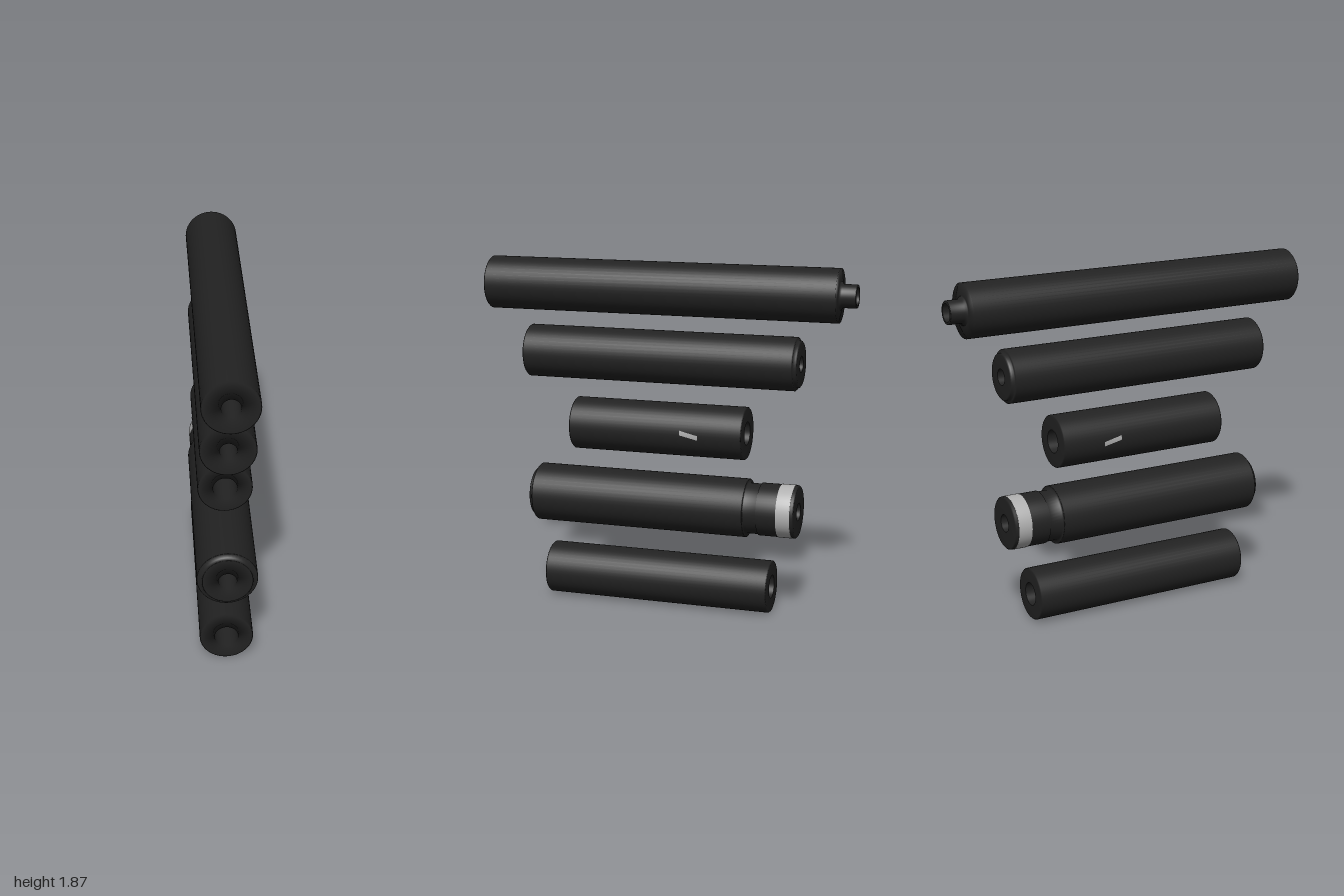
import * as THREE from 'three';

const dark = new THREE.MeshStandardMaterial({ color: 0x222222 });
dark.name = 'matte black';
const light = new THREE.MeshStandardMaterial({ color: 0xb0b0b0, side: THREE.DoubleSide });
light.name = 'light grey';

const R = 0.141; // common tube radius
const C = 0.006; // edge chamfer

// Solid of revolution along z; profile is [radius, z] from back to front
function turned(name, profile, material = dark) {
  const geo = new THREE.LatheGeometry(profile.map(([r, z]) => new THREE.Vector2(r, z)), 48);
  geo.rotateX(Math.PI / 2);
  const mesh = new THREE.Mesh(geo, material);
  mesh.name = name;
  return mesh;
}

// Outer profile closed by a bore running the whole length
function bored(name, bore, outer) {
  const back = outer[0][1], front = outer[outer.length - 1][1];
  return turned(name, [[bore, back], ...outer, [bore, front], [bore, back]]);
}

// Chamfered outline of a straight section
const section = (r, back, front) => [[r - C, back], [r, back + C], [r, front - C], [r - C, front]];

function tubeGroup(name, y, ...parts) {
  const g = new THREE.Group();
  g.name = name;
  g.position.y = y;
  g.add(...parts);
  return g;
}

// Slanted inlay that follows the curve of the tube
function slantedMark() {
  const geo = new THREE.PlaneGeometry(0.1, 0.025, 4, 4).rotateY(Math.PI / 2);
  const p = geo.attributes.position;
  for (let i = 0; i < p.count; i++) {
    const z = p.getZ(i), y = p.getY(i) + 0.23 * z;
    p.setXYZ(i, Math.sqrt(0.1425 ** 2 - y * y), y, z - 0.145);
  }
  geo.computeVertexNormals();
  return geo;
}

export function createModel() {
  const model = new THREE.Group();
  model.name = 'tubeSet';

  // Longest tube with a narrow rear spigot
  model.add(tubeGroup('longTube', 1.735,
    bored('longTubeBody', 0.047, [
      [0.058, -1], [0.061, -0.997], [0.061, -0.925], [0.074, -0.916], [0.074, -0.91],
      [R, -0.91], [R, 1 - C], [R - C, 1],
    ])));

  // Second tube with a stepped rear cap
  model.add(tubeGroup('steppedTube', 1.37,
    bored('steppedTubeBody', 0.043, [
      [0.115, -0.715], [0.123, -0.709], [0.123, -0.695], ...section(R, -0.695, 0.785),
    ])));

  // Short tube with a mark on each side
  const short = tubeGroup('shortTube', 0.983,
    bored('shortTubeBody', 0.062, section(R, -0.43, 0.525)));
  const markGeo = slantedMark();
  for (const side of [1, -1]) {
    const mark = new THREE.Mesh(markGeo, light);
    mark.name = side > 0 ? 'leftMark' : 'rightMark';
    mark.scale.x = side;
    short.add(mark);
  }
  model.add(short);

  // Widest tube: front cap, body, neck and banded rear collar
  model.add(tubeGroup('wideTube', 0.576,
    bored('wideTubeBody', 0.047, [
      [0.134, -0.715], [R, -0.709], [R, -0.513], [0.135, -0.513], [0.135, -0.443],
      [0.154, -0.443], [0.157, -0.44], [0.157, 0.739], [0.154, 0.742],
      [0.131, 0.742], [0.131, 0.762], [0.128, 0.765],
    ]),
    turned('rearBand', [[R, -0.695], [0.143, -0.695], [0.143, -0.62], [R, -0.62]], light)));

  // Plain bottom tube
  model.add(tubeGroup('plainTube', 0.146,
    bored('plainTubeBody', 0.062, section(R, -0.575, 0.675))));

  return model;
}
